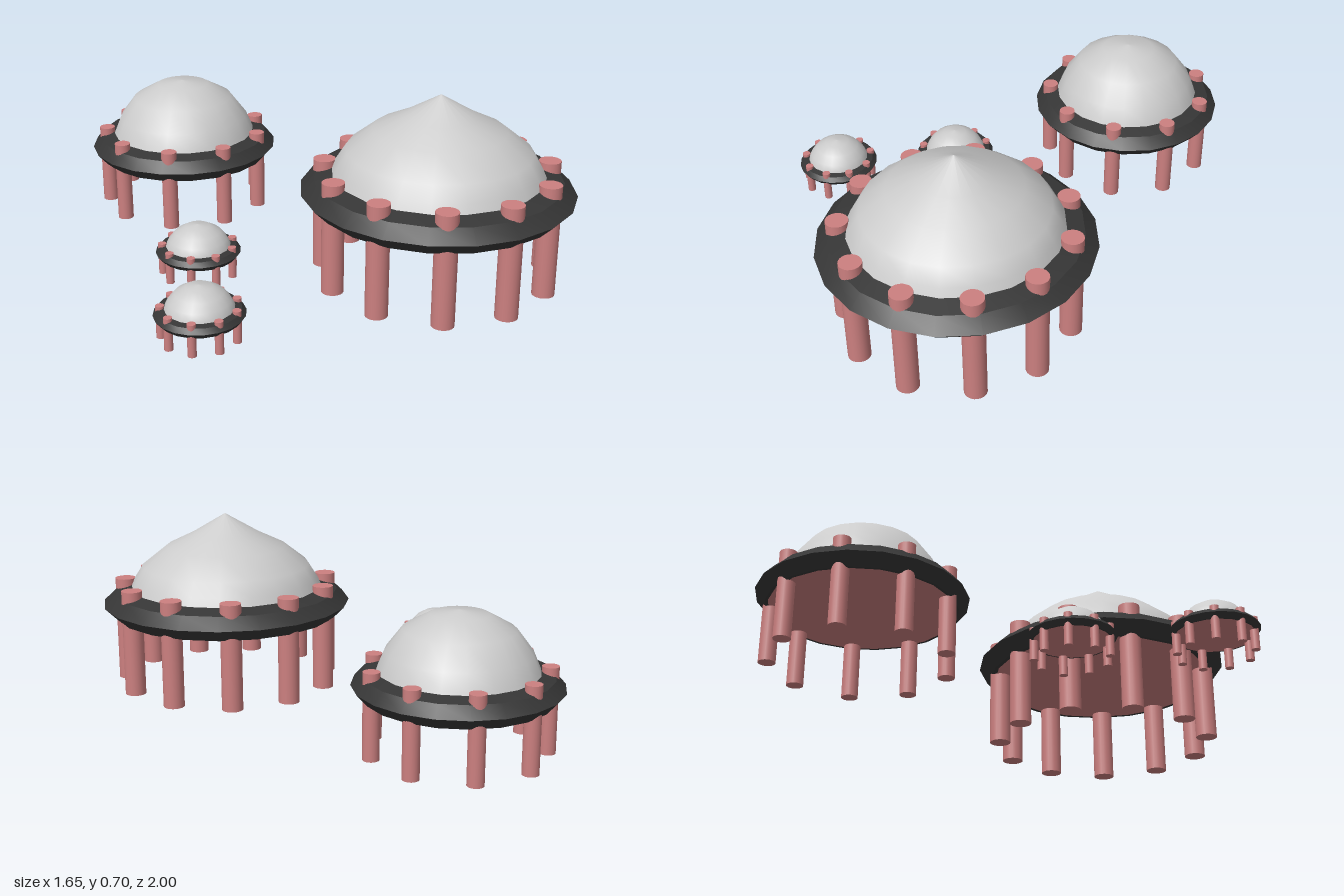
import * as THREE from 'three';
import { toCreasedNormals } from 'three/addons/utils/BufferGeometryUtils.js';

const SIDES = 20;
const domeMat = new THREE.MeshStandardMaterial({ color: 0xcccccc });
const ringMat = new THREE.MeshStandardMaterial({ color: 0x363636 });
const columnMat = new THREE.MeshStandardMaterial({ color: 0xcc8080 });

const lathe = (profile) =>
  new THREE.LatheGeometry(profile.map(([r, y]) => new THREE.Vector2(r, y)), SIDES);

function addMesh(parent, name, geometry, material) {
  const mesh = new THREE.Mesh(geometry, material);
  mesh.name = name;
  parent.add(mesh);
  return mesh;
}

// A domed pavilion: dome, eaves ring, ceiling disc and a circle of columns
function pavilion({ name, x, z, dome, ring, columns }) {
  const group = new THREE.Group();
  group.name = name;
  group.position.set(x, 0, z);

  addMesh(group, 'dome', lathe(dome), domeMat);
  addMesh(group, 'eavesRing', toCreasedNormals(lathe(ring), 0.38), ringMat);

  // Ceiling closes the underside of the ring
  const [ceilingRadius, ceilingY] = ring[0];
  const ceiling = addMesh(group, 'ceiling', new THREE.CircleGeometry(ceilingRadius, SIDES), columnMat);
  ceiling.rotation.x = Math.PI / 2;
  ceiling.position.y = ceilingY;

  // Columns rise through the ring, their tops standing proud of it
  const { count, radius, circle, height, start } = columns;
  const shaft = new THREE.CylinderGeometry(radius, radius, height, 20);
  for (let i = 0; i < count; i++) {
    const a = THREE.MathUtils.degToRad(start) + (i / count) * Math.PI * 2;
    const column = addMesh(group, `column${i + 1}`, shaft, columnMat);
    column.position.set(Math.cos(a) * circle, height / 2, Math.sin(a) * circle);
  }
  return group;
}

export function createModel() {
  const model = new THREE.Group();
  model.name = 'pavilions';

  // Large pavilion with a pointed dome
  model.add(pavilion({
    name: 'largePavilion', x: 0.315, z: 0.485,
    dome: [[0.405, 0.38], [0.38, 0.436], [0.344, 0.493], [0.247, 0.57], [0.14, 0.622], [0, 0.705]],
    ring: [[0.445, 0.29], [0.46, 0.29], [0.51, 0.34], [0.46, 0.387], [0.38, 0.408]],
    columns: { count: 11, radius: 0.042, circle: 0.423, height: 0.43, start: -12.3 },
  }));

  // Medium pavilion with a round dome
  model.add(pavilion({
    name: 'mediumPavilion', x: -0.245, z: -0.62,
    dome: [[0.308, 0.27], [0.288, 0.317], [0.264, 0.374], [0.203, 0.455], [0.105, 0.51], [0, 0.525]],
    ring: [[0.335, 0.207], [0.345, 0.207], [0.383, 0.25], [0.345, 0.292], [0.285, 0.308]],
    columns: { count: 9, radius: 0.031, circle: 0.323, height: 0.325, start: 3 },
  }));

  // Two matching small pavilions
  [[-0.481, 0.087], [-0.667, 0.545]].forEach(([x, z], i) => {
    model.add(pavilion({
      name: `smallPavilion${i + 1}`, x, z,
      dome: [[0.125, 0.1], [0.12, 0.118], [0.109, 0.14], [0.085, 0.168], [0.046, 0.19], [0, 0.197]],
      ring: [[0.14, 0.072], [0.145, 0.072], [0.16, 0.091], [0.145, 0.108], [0.115, 0.114]],
      columns: { count: 9, radius: 0.0155, circle: 0.135, height: 0.121, start: 4.5 },
    }));
  });

  return model;
}
